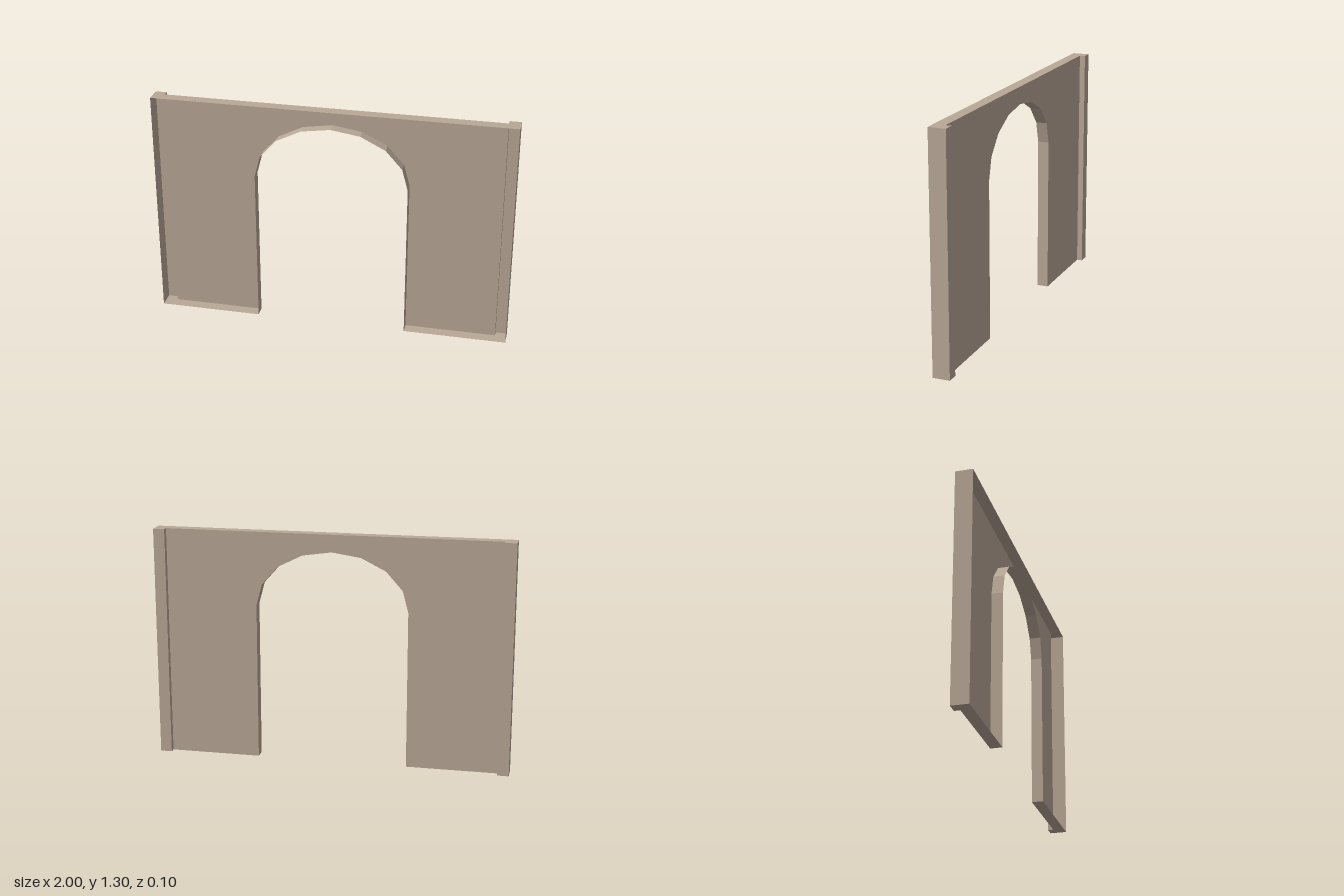
import * as THREE from 'three';

const H = 1.3;            // wall height
const FRONT = 0.048;      // open front edge
const BACK = -0.016;      // rear skin
const TAB = -0.048;       // rear of the end pilasters
const TAB_X = 0.936;      // inner edge of the pilasters
const RX = 0.425, RY = 0.318, SPRING = 0.885; // arch opening

const V = (x, y, z) => new THREE.Vector3(x, y, z);

// Flat-faceted strip swept from a path along one straight offset
function ribbon(path, offset) {
  const pts = [];
  for (let i = 0; i < path.length - 1; i++) {
    const a = path[i], b = path[i + 1];
    const c = b.clone().add(offset), d = a.clone().add(offset);
    pts.push(a, b, c, a, c, d);
  }
  const geo = new THREE.BufferGeometry().setFromPoints(pts);
  geo.computeVertexNormals();
  return geo;
}

const flat = (pts) =>
  new THREE.ShapeGeometry(new THREE.Shape(pts.map(([x, y]) => new THREE.Vector2(x, y))));

export function createModel() {
  const group = new THREE.Group();
  const stone = new THREE.MeshStandardMaterial({ color: 0xb9a897, side: THREE.DoubleSide });
  stone.name = 'warm stone';

  const add = (name, geo) => {
    const mesh = new THREE.Mesh(geo, stone);
    mesh.name = name;
    group.add(mesh);
    return mesh;
  };

  // Opening outline: straight jambs and an eight-segment elliptical head
  const arch = [[-RX, 0]];
  for (let i = 0; i <= 8; i++) {
    const t = Math.PI * (1 - i / 8);
    arch.push([RX * Math.cos(t), SPRING + RY * Math.sin(t)]);
  }
  arch.push([RX, 0]);

  // Rear skin with the doorway cut out
  add('rearWall', flat([[-TAB_X, 0], ...arch, [TAB_X, 0], [TAB_X, H], [-TAB_X, H]]).rotateY(Math.PI))
    .position.z = BACK;

  // Reveal lining the doorway
  add('archReveal', ribbon(arch.map(([x, y]) => V(x, y, BACK)), V(0, 0, FRONT - BACK)));

  // End faces and rear pilasters
  const end = [[1, FRONT], [1, TAB], [TAB_X, TAB], [TAB_X, BACK]];
  for (const s of [1, -1]) {
    const path = end.map(([x, z]) => V(s * x, 0, z));
    if (s < 0) path.reverse();
    add(s > 0 ? 'leftPilaster' : 'rightPilaster', ribbon(path, V(0, H, 0)));

    // Underside of each pier
    const foot = [...end, [RX, BACK], [RX, FRONT]].map(([x, z]) => [s * x, z]);
    add(s > 0 ? 'leftFoot' : 'rightFoot', flat(foot).rotateX(Math.PI / 2));
  }

  // Top edge in plan, with the two rear returns
  const plan = [...end, ...end.map(([x, z]) => [-x, z]).reverse()];
  add('topEdge', flat(plan.map(([x, z]) => [x, -z])).rotateX(-Math.PI / 2)).position.y = H;

  return group;
}
